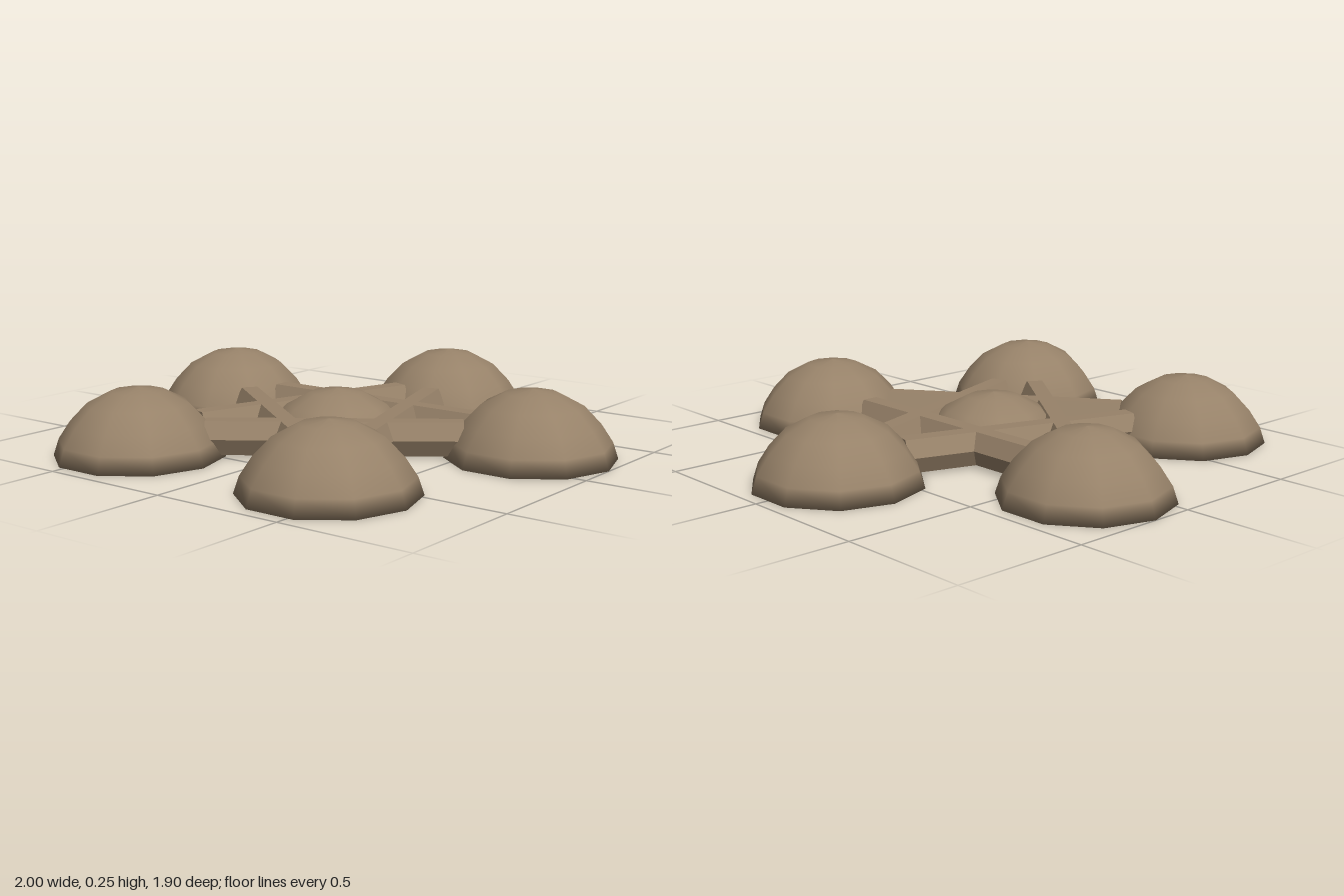
import * as THREE from 'three';

export function createModel() {
  const model = new THREE.Group();
  const tan = new THREE.MeshStandardMaterial({ color: 0x978269 });
  tan.name = 'tan';

  const centreZ = 0.068; // middle of the star
  const reach = 0.728;   // distance from the middle to each outer dome
  const step = (Math.PI * 2) / 5;

  // Ten-sided smooth dome with a closed base, corners on the x axis
  function dome(name, profile, x, z) {
    const points = profile.map(([r, y]) => new THREE.Vector2(r, y));
    const mesh = new THREE.Mesh(new THREE.LatheGeometry(points, 10, Math.PI / 2), tan);
    mesh.name = name;
    mesh.position.set(x, 0, z);
    model.add(mesh);
  }

  const outerProfile = [[0, 0], [0.308, 0], [0.288, 0.06], [0.245, 0.125], [0.183, 0.19], [0.097, 0.235], [0, 0.25]];
  const centreProfile = [[0, 0], [0.287, 0], [0.28, 0.02], [0.243, 0.08], [0.183, 0.145], [0.097, 0.19], [0, 0.205]];

  dome('centreDome', centreProfile, 0, centreZ);
  for (let i = 0; i < 5; i++) {
    const a = i * step;
    dome('outerDome', outerProfile, Math.sin(a) * reach, centreZ - Math.cos(a) * reach);
  }

  // Six-sided faceted bars crossing as a five-pointed star
  const barShape = new THREE.CylinderGeometry(0.062, 0.062, 0.91, 6)
    .rotateZ(Math.PI / 2)
    .scale(1, 1.14, 1)
    .toNonIndexed();
  barShape.computeVertexNormals();

  const star = new THREE.Group();
  star.name = 'starFrame';
  star.position.set(0, 0.072, centreZ);
  for (let i = 0; i < 5; i++) {
    const arm = new THREE.Group();
    arm.rotation.y = i * step;
    const bar = new THREE.Mesh(barShape, tan);
    bar.name = 'starBar';
    bar.position.z = -reach * Math.cos(step);
    arm.add(bar);
    star.add(arm);
  }
  model.add(star);
  return model;
}
